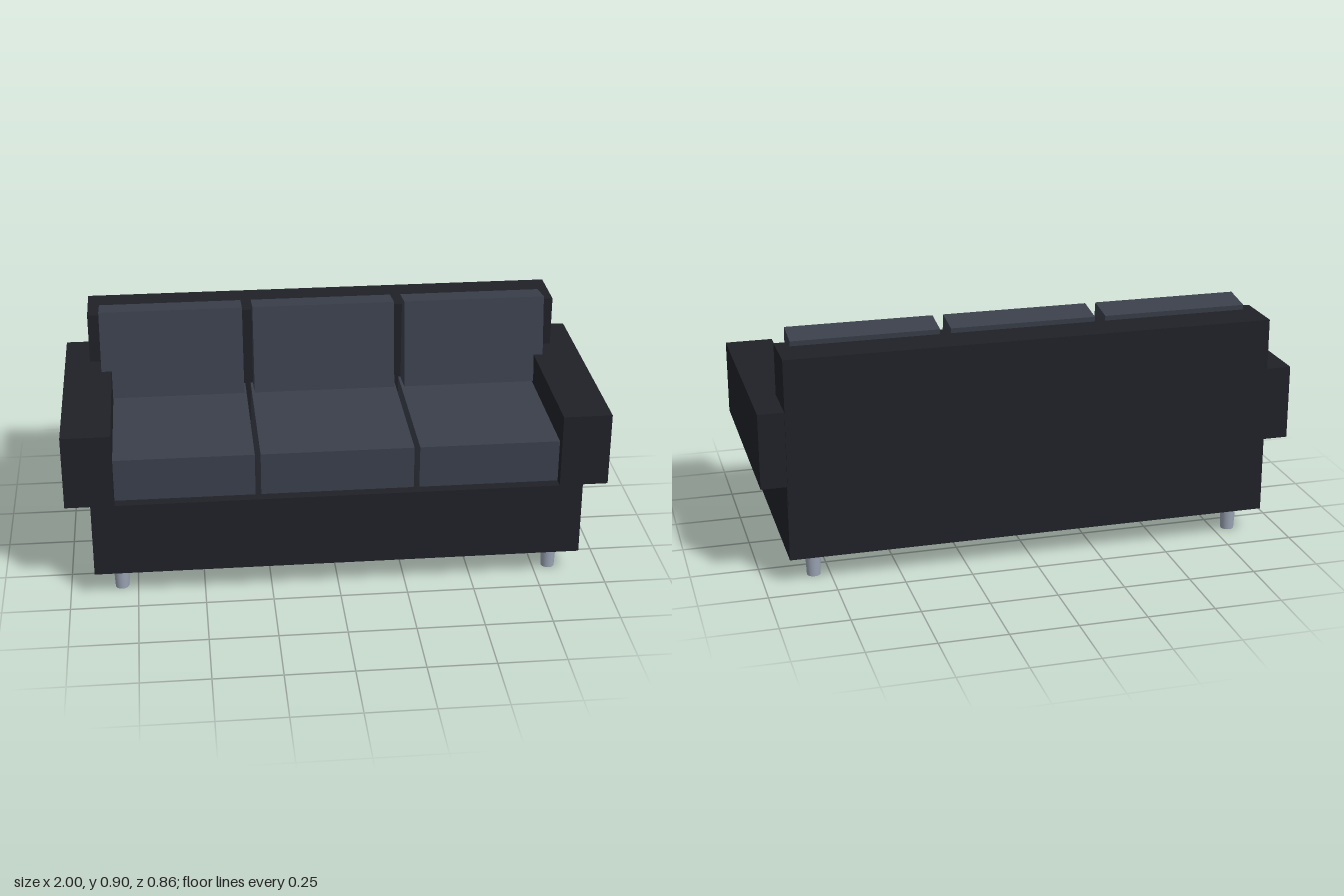
import * as THREE from 'three';

export function createModel() {
  const sofa = new THREE.Group();
  sofa.name = 'sofa';
  const frameMat = new THREE.MeshStandardMaterial({ color: 0x202127 });
  const cushionMat = new THREE.MeshStandardMaterial({ color: 0x3a3f4b });
  const legMat = new THREE.MeshStandardMaterial({ color: 0x9aa3b3 });

  // Box given by its lower and upper corners
  function box(name, mat, [x0, y0, z0], [x1, y1, z1]) {
    const mesh = new THREE.Mesh(new THREE.BoxGeometry(x1 - x0, y1 - y0, z1 - z0), mat);
    mesh.position.set((x0 + x1) / 2, (y0 + y1) / 2, (z0 + z1) / 2);
    mesh.name = name;
    sofa.add(mesh);
    return mesh;
  }

  // Frame
  box('base', frameMat, [-0.907, 0.102, -0.426], [0.907, 0.386, 0.431]);
  box('backrest', frameMat, [-0.905, 0.304, -0.431], [0.905, 0.859, -0.23]);
  box('leftArm', frameMat, [0.82, 0.386, -0.426], [1, 0.666, 0.431]);
  box('rightArm', frameMat, [-1, 0.386, -0.426], [-0.82, 0.666, 0.431]);

  // Three seat cushions with leaning back cushions
  const step = 0.585, seatWidth = 0.564, backWidth = 0.545;
  const backHeight = 0.34, backDepth = 0.121, tilt = -0.15;
  ['right', 'middle', 'left'].forEach((side, i) => {
    const x = (i - 1) * step - 0.002;
    box(side + 'SeatCushion', cushionMat,
      [x - seatWidth / 2, 0.386, -0.23], [x + seatWidth / 2, 0.549, 0.391]);

    // Geometry is shifted so the pivot sits on the top front edge
    const geo = new THREE.BoxGeometry(backWidth, backHeight, backDepth);
    geo.translate(0, -backHeight / 2, -backDepth / 2);
    const back = new THREE.Mesh(geo, cushionMat);
    back.position.set(x, 0.896, -0.165);
    back.rotation.x = tilt;
    back.name = side + 'BackCushion';
    sofa.add(back);
  });

  // Tapered round legs
  const legGeo = new THREE.CylinderGeometry(0.03, 0.025, 0.102, 32);
  for (const x of [-0.81, 0.81]) {
    for (const z of [0.347, -0.339]) {
      const leg = new THREE.Mesh(legGeo, legMat);
      leg.position.set(x, 0.051, z);
      leg.name = (z > 0 ? 'front' : 'rear') + (x > 0 ? 'Left' : 'Right') + 'Leg';
      sofa.add(leg);
    }
  }
  return sofa;
}
